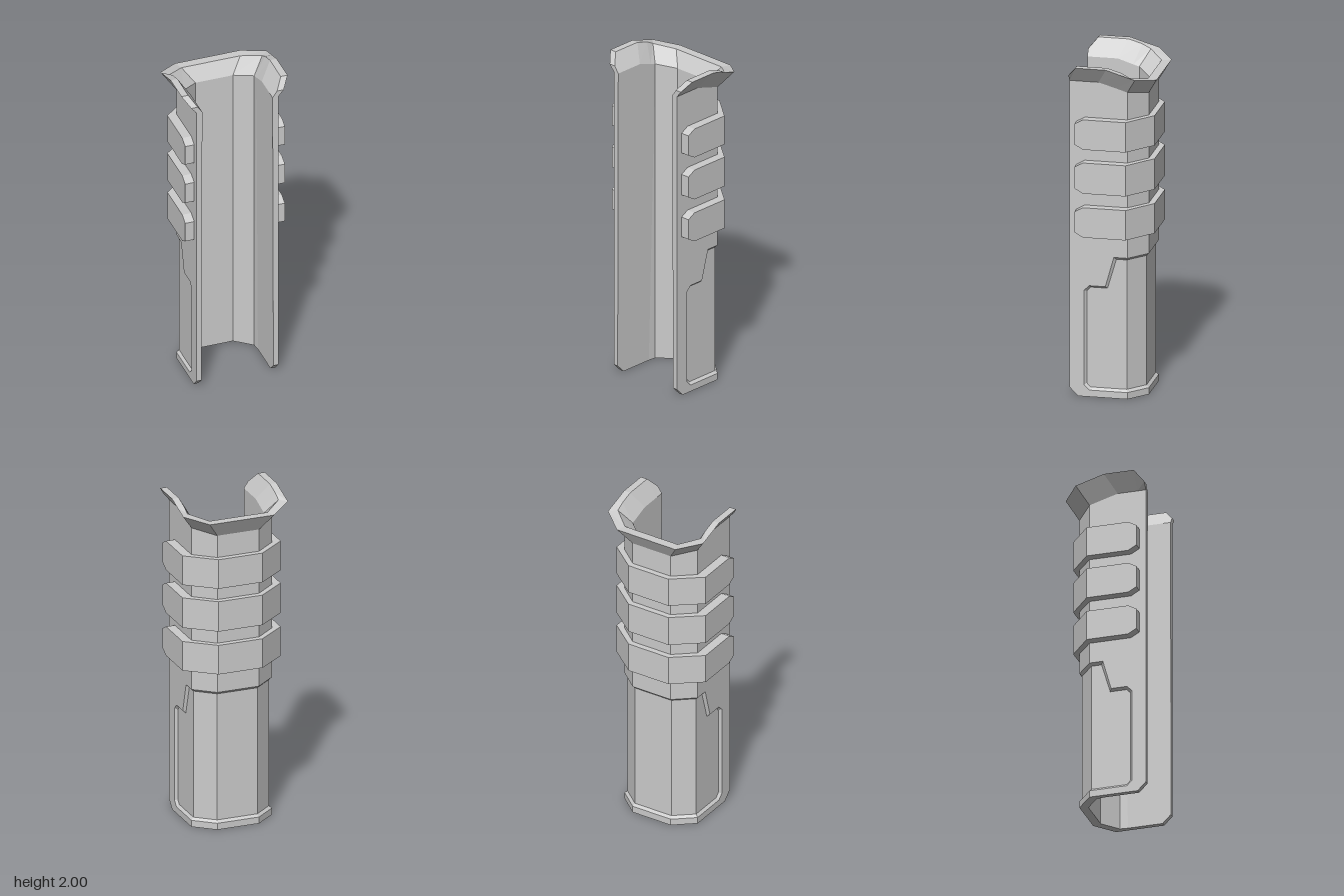
import * as THREE from 'three';

const material = new THREE.MeshStandardMaterial({ color: 0xcccccc, flatShading: true });

// Lofts closed cross-sections along a U path. The sections cover the +x half,
// from the front end to the back, and are mirrored to complete the U.
function loftU(name, half) {
  const mirrored = half.map(s => s.map(([x, y, z]) => [-x, y, z])).reverse();
  const stations = [...half, ...mirrored];
  const n = half[0].length;
  const positions = [];
  const tri = (...corners) => {
    const t = new THREE.Triangle(...corners.map(c => new THREE.Vector3(...c)));
    if (t.getArea() > 1e-8) positions.push(...corners.flat());
  };
  for (let s = 0; s < stations.length - 1; s++) {
    for (let i = 0; i < n; i++) {
      const j = (i + 1) % n;
      const a = stations[s][i], b = stations[s + 1][i];
      const c = stations[s + 1][j], d = stations[s][j];
      tri(a, b, c);
      tri(a, c, d);
    }
  }
  // end caps, fanned from the upper inner corner
  const first = stations[0], last = stations[stations.length - 1], hub = n - 2;
  for (let k = 1; k < n - 1; k++) {
    const i = (hub + k) % n, j = (hub + k + 1) % n;
    tri(first[hub], first[i], first[j]);
    tri(last[hub], last[j], last[i]);
  }
  const geometry = new THREE.BufferGeometry();
  geometry.setAttribute('position', new THREE.Float32BufferAttribute(positions, 3));
  geometry.computeVertexNormals();
  const mesh = new THREE.Mesh(geometry, material);
  mesh.name = name;
  return mesh;
}

// Section of the straight side wall: lower edge, recess (lo..hi at z, its floor
// at floor = [z, lo, hi]), flared lip, then down the inside.
function wall(z, lo, hi, floor, o = {}) {
  const [fz, flo, fhi] = floor ?? [z, lo, hi];
  const fx = floor ? 0.235 : 0.25;
  const { bottom = 0, lip = [z, 1.9], top = [z, 2], topX = [0.325, 0.283], inZ = lip[0] } = o;
  return [
    [0.25, bottom, z], [0.25, lo, z], [fx, flo, fz], [fx, fhi, fz], [0.25, hi, z],
    [0.25, lip[1], lip[0]], [topX[0], top[1], top[0]], [topX[1], top[1], top[0]],
    [0.215, lip[1], inZ], [0.22, bottom, z],
  ];
}

// Section at a bend of the back: plan points as [x, z]
function bend(outer, floor, lipY, topOuter, topInner, topY, inner, innerY) {
  const at = ([x, z], y) => [x, y, z];
  return [
    at(outer, 0), at(outer, 0.04), at(floor, 0.055), at(floor, 0.835), at(outer, 0.85),
    at(outer, lipY), at(topOuter, topY), at(topInner, topY), at(inner, innerY), at(inner, 0),
  ];
}

function createShell() {
  return loftU('shell', [
    wall(0.25, 0.07, 0.64, null, { bottom: 0.05, top: [0.25, 1.94], topX: [0.283, 0.243] }),
    wall(0.2, 0.07, 0.64, null),
    wall(0.165, 0.07, 0.64, null),
    wall(0.165, 0.07, 0.64, [0.152, 0.078, 0.633]),
    wall(0.135, 0.04, 0.67, [0.13, 0.055, 0.657]),
    wall(0.04, 0.04, 0.67, [0.03, 0.055, 0.657], { lip: [0.08, 1.9], top: [0.02, 2], inZ: 0.07 }),
    wall(-0.01, 0.04, 0.85, [-0.022, 0.055, 0.835], { lip: [-0.02, 1.871], top: [-0.06, 1.976] }),
    bend([0.25, -0.09], [0.235, -0.083], 1.85, [0.325, -0.15], [0.283, -0.11], 1.95, [0.215, -0.057], 1.86),
    bend([0.13, -0.19], [0.125, -0.175], 1.82, [0.2, -0.25], [0.18, -0.195], 1.92, [0.115, -0.14], 1.835),
  ]);
}

// Raised rib wrapping the sides and back, with chamfered front corners
function createRib(name, low, high) {
  const section = ([ox, oz], [ix, iz], cut = 0) => [
    [ox, low + cut, oz], [ox, high - cut, oz], [ix, high - cut, iz], [ix, low + cut, iz],
  ];
  return loftU(name, [
    section([0.305, 0.21], [0.24, 0.21], 0.028),
    section([0.305, 0.16], [0.24, 0.16]),
    section([0.305, -0.09], [0.24, -0.085]),
    section([0.136, -0.225], [0.125, -0.18]),
  ]);
}

export function createModel() {
  const group = new THREE.Group();
  group.name = 'handguardCover';
  group.add(createShell());
  [[1.505, 1.685], [1.24, 1.425], [0.975, 1.155]].forEach(([low, high], i) => {
    group.add(createRib(`rib${i + 1}`, low, high));
  });
  return group;
}
